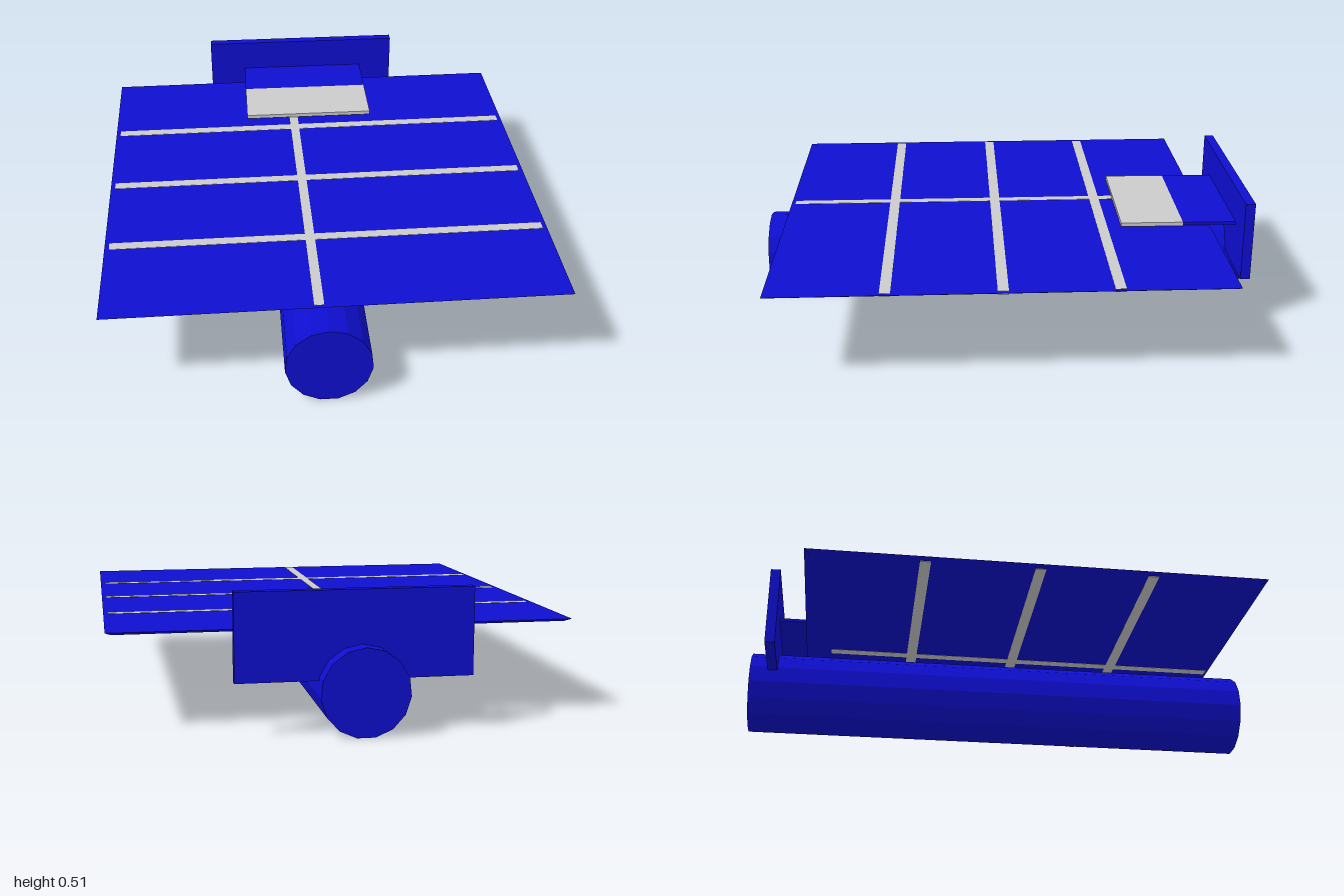
import * as THREE from 'three';

const blue = new THREE.MeshStandardMaterial({ color: 0x0e0ed0, flatShading: true });
const grey = new THREE.MeshStandardMaterial({ color: 0xcccccc, flatShading: true });

function add(parent, name, geometry, material, x, y, z) {
  const mesh = new THREE.Mesh(geometry, material);
  mesh.name = name;
  mesh.position.set(x, y, z);
  parent.add(mesh);
  return mesh;
}

// Box given by its lower and upper limits on each axis
function addBox(parent, name, material, [x0, x1], [y0, y1], [z0, z1]) {
  const geometry = new THREE.BoxGeometry(x1 - x0, y1 - y0, z1 - z0);
  return add(parent, name, geometry, material, (x0 + x1) / 2, (y0 + y1) / 2, (z0 + z1) / 2);
}

export function createModel() {
  const model = new THREE.Group();
  model.name = 'model';

  // Body: 15-sided tube lying along z
  const tube = new THREE.CylinderGeometry(0.16, 0.16, 2, 15).rotateX(-Math.PI / 2);
  add(model, 'body', tube, blue, -0.035, 0.16, 0);

  // Wing: thin square panel, narrower on its underside, turned very slightly
  const wing = new THREE.Group();
  wing.name = 'wing';
  wing.position.set(0, 0.355, 0.063);
  wing.rotation.y = 0.0075;
  model.add(wing);

  const panel = new THREE.BoxGeometry(1.7, 0.011, 1.705);
  const p = panel.attributes.position;
  for (let i = 0; i < p.count; i++) {
    if (p.getY(i) < 0) p.setXYZ(i, p.getX(i) * 0.975, p.getY(i), p.getZ(i) * 0.975);
  }
  panel.computeVertexNormals();
  add(wing, 'wingPanel', panel, blue, 0, 0, 0);

  // Grey ribs and spar, showing on both faces of the wing
  const thick = [-0.0065, 0.0065];
  for (const z of [-0.42, 0, 0.42]) {
    addBox(wing, 'wingRib', grey, [-0.833, 0.833], thick, [z - 0.02, z + 0.02]);
  }
  addBox(wing, 'wingSpar', grey, [-0.088, -0.052], thick, [-0.75, 0.837]);

  // Tail: flat bracket with a grey plate in front and an upright fin behind
  addBox(model, 'tailPlate', grey, [-0.28, 0.267], [0.366, 0.382], [-0.68, -0.432]);
  addBox(model, 'tailBracket', blue, [-0.28, 0.267], [0.369, 0.381], [-0.9, -0.68]);
  addBox(model, 'tailFin', blue, [-0.435, 0.413], [0.195, 0.512], [-0.93, -0.892]);

  return model;
}
